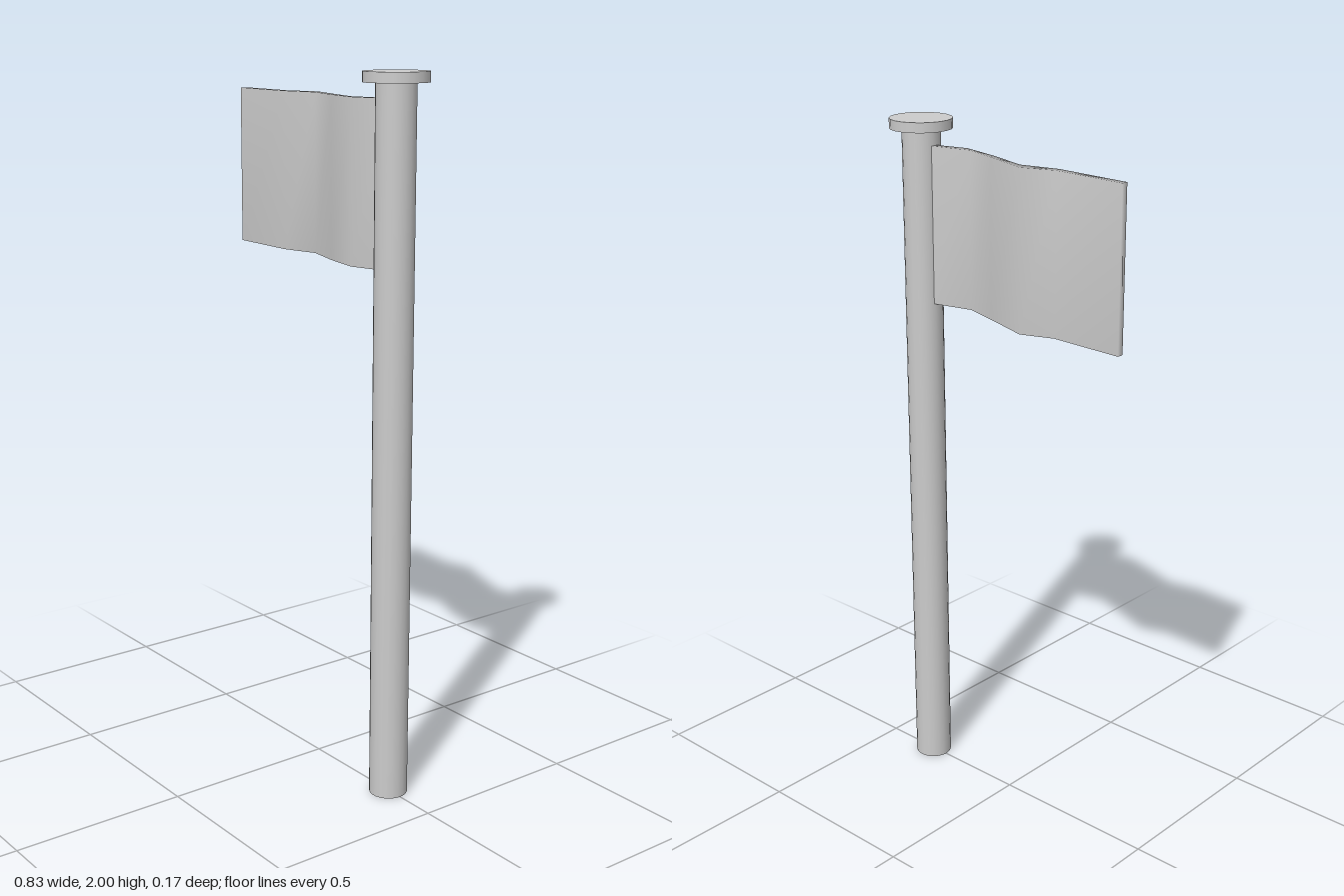
import * as THREE from 'three';

const material = new THREE.MeshStandardMaterial({ color: 0xcccccc });
const SIDES = 20;
const POLE_X = 0.326;

// Upright cylinder standing on y0, with flat sides facing the axes
function post(name, radius, y0, y1) {
  const geometry = new THREE.CylinderGeometry(radius, radius, y1 - y0, SIDES, 1, false, Math.PI / SIDES);
  const mesh = new THREE.Mesh(geometry, material);
  mesh.name = name;
  mesh.position.set(POLE_X, (y0 + y1) / 2, 0);
  return mesh;
}

// Waving cloth: rectangular cross-sections joined along x, softly shaded
function flag(bottom, top) {
  // each section: front x, front z, back x, back z
  const sections = [
    [-0.413, -0.027, -0.413, -0.046],
    [-0.185, -0.017, -0.192, -0.037],
    [-0.073, -0.042, -0.098, -0.070],
    [0.055, 0.000, 0.050, -0.020],
    [0.180, 0.030, 0.155, 0.013],
    [0.295, 0.002, 0.295, -0.018],
  ];
  const positions = [];
  const index = [];
  for (const [fx, fz, bx, bz] of sections) {
    positions.push(fx, bottom, fz, fx, top, fz, bx, top, bz, bx, bottom, bz);
  }
  for (let s = 0; s < sections.length - 1; s++) {
    for (let k = 0; k < 4; k++) {
      const a = s * 4 + k;
      const b = s * 4 + ((k + 1) % 4);
      index.push(a, a + 4, b + 4, a, b + 4, b);
    }
  }
  // end faces
  const e = (sections.length - 1) * 4;
  index.push(0, 1, 2, 0, 2, 3, e, e + 2, e + 1, e, e + 3, e + 2);

  const geometry = new THREE.BufferGeometry();
  geometry.setAttribute('position', new THREE.Float32BufferAttribute(positions, 3));
  geometry.setIndex(index);
  geometry.computeVertexNormals();
  const mesh = new THREE.Mesh(geometry, material);
  mesh.name = 'flag';
  return mesh;
}

export function createModel() {
  const model = new THREE.Group();
  model.name = 'flagpole';
  model.add(
    post('pole', 0.054, 0, 1.975),
    post('cap', 0.088, 1.972, 2),
    flag(1.485, 1.93),
  );
  return model;
}
